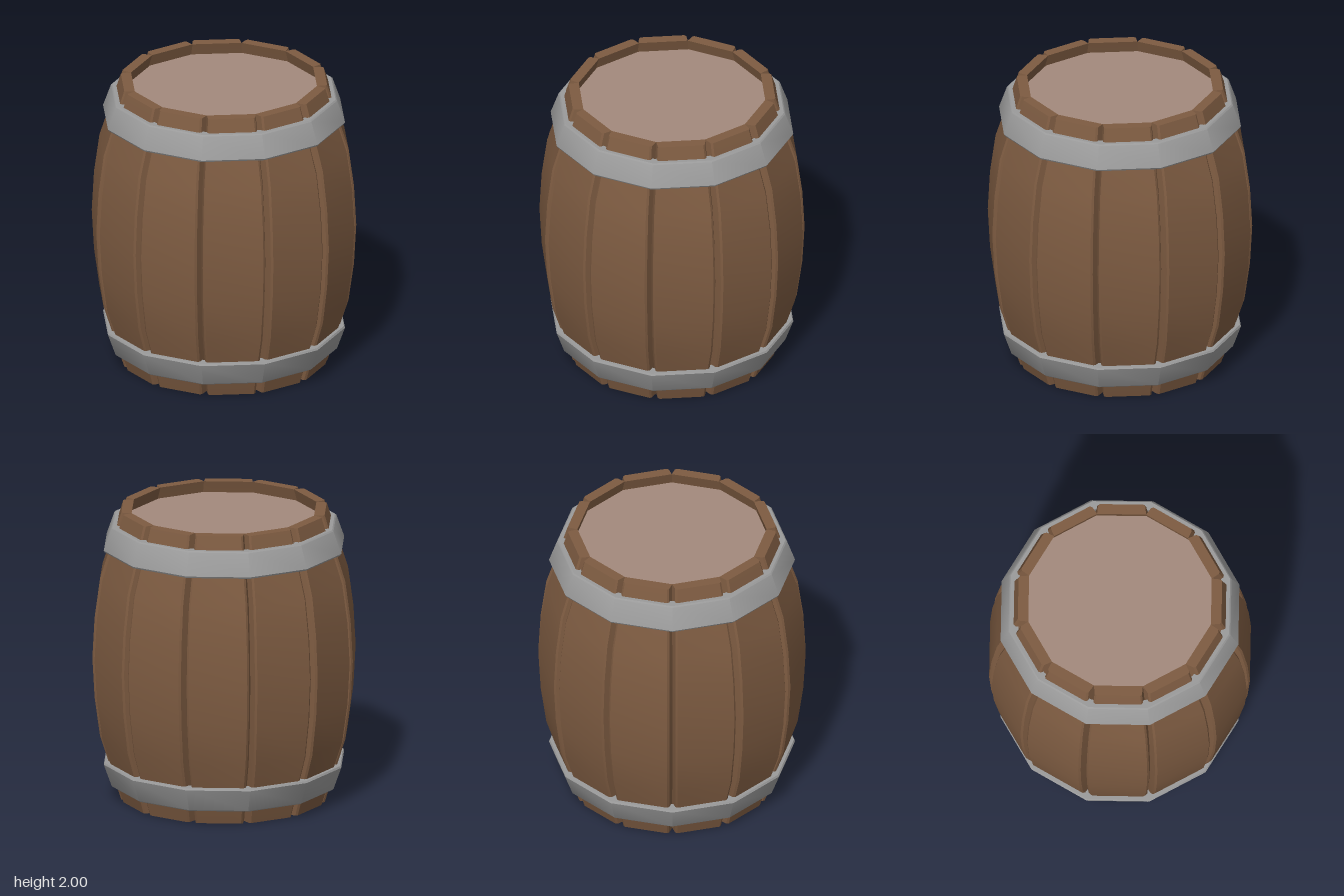
import * as THREE from 'three';
import { toCreasedNormals } from 'three/addons/utils/BufferGeometryUtils.js';

const SIDES = 12;
const TAN = Math.tan(Math.PI / SIDES);

// One bowed plank: a bevelled cross-section lofted up the barrel profile
function staveGeometry() {
  const profile = [[0, 0.68], [0.45, 0.82], [0.72, 0.856], [1, 0.871], [1.28, 0.856], [1.55, 0.82], [2, 0.68]];
  const thickness = 0.07, bevel = 0.012, n = 6;
  const positions = [], index = [];
  for (const [y, outer] of profile) {
    const inner = outer - thickness;
    const hi = inner * TAN, ho = outer * TAN - 0.024;
    const section = [
      [hi, inner], [ho, outer - bevel], [ho - bevel, outer],
      [bevel - ho, outer], [-ho, outer - bevel], [-hi, inner],
    ];
    for (const [x, z] of section) positions.push(x, y, z);
  }
  const last = (profile.length - 1) * n;
  for (let row = 0; row < last; row += n) {
    for (let i = 0; i < n; i++) {
      const j = (i + 1) % n;
      const a = row + i, b = row + j, c = b + n, d = a + n;
      index.push(a, d, c, a, c, b);
    }
  }
  // End grain
  for (let i = 1; i < n - 1; i++) {
    index.push(0, i, i + 1, last, last + i + 1, last + i);
  }
  const geometry = new THREE.BufferGeometry();
  geometry.setAttribute('position', new THREE.Float32BufferAttribute(positions, 3));
  geometry.setIndex(index);
  return toCreasedNormals(geometry, 0.5);
}

// Twelve-sided flared band, wide edge up
function hoopGeometry() {
  const profile = [
    [0.70, 0.10], [0.758, 0.10], [0.768, 0.108], [0.822, 0.26],
    [0.815, 0.272], [0.74, 0.272], [0.70, 0.10],
  ].map(([r, y]) => new THREE.Vector2(r, y));
  return toCreasedNormals(new THREE.LatheGeometry(profile, SIDES), 0.6);
}

export function createModel() {
  const wood = new THREE.MeshStandardMaterial({ color: 0x7d5b41 });
  wood.name = 'staveWood';
  const metal = new THREE.MeshStandardMaterial({ color: 0x9a9a9a });
  metal.name = 'hoopMetal';
  const paleWood = new THREE.MeshStandardMaterial({ color: 0xa3897c });
  paleWood.name = 'lidWood';

  const barrel = new THREE.Group();
  barrel.name = 'barrel';
  const add = (name, geometry, material, parent = barrel) => {
    const mesh = new THREE.Mesh(geometry, material);
    mesh.name = name;
    parent.add(mesh);
    return mesh;
  };

  // Ring of staves, with joints on the axes
  const staves = new THREE.Group();
  staves.name = 'staves';
  barrel.add(staves);
  const stave = staveGeometry();
  for (let i = 0; i < SIDES; i++) {
    add('stave', stave, wood, staves).rotation.y = ((i + 0.5) * 2 * Math.PI) / SIDES;
  }

  // Hoops: the upper one is the lower one turned over
  const hoop = hoopGeometry();
  add('lowerHoop', hoop, metal);
  const upper = add('upperHoop', hoop, metal);
  upper.rotation.x = Math.PI;
  upper.position.y = 2.01;

  // Recessed end boards
  const board = new THREE.CylinderGeometry(0.65, 0.65, 0.04, SIDES);
  add('lid', board, paleWood).position.y = 1.9;
  add('base', board, paleWood).position.y = 0.1;

  return barrel;
}
